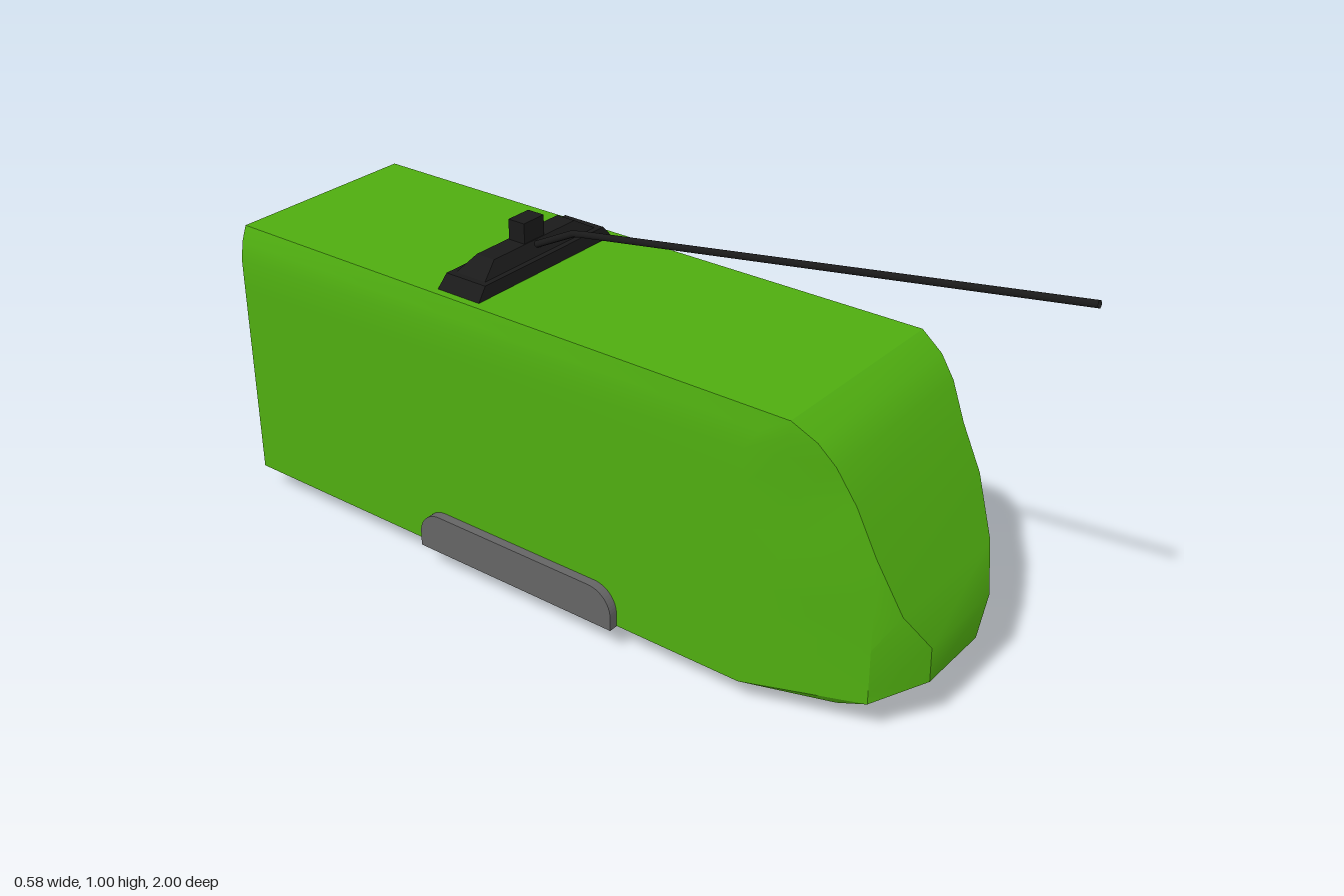
import * as THREE from 'three';
import { toCreasedNormals } from 'three/addons/utils/BufferGeometryUtils.js';

const mat = (color, extra = {}) => new THREE.MeshStandardMaterial({ color, ...extra });
const GREEN = mat(0x4fad10), ORANGE = mat(0xcc9412), GLASS = mat(0x459494), RED = mat(0x9c2428);
const GREY = mat(0x646464), BLACK = mat(0x1a1a1a);

export function createModel() {
  const model = new THREE.Group();
  const add = (name, geometry, material, parent = model) => {
    const mesh = new THREE.Mesh(geometry, material);
    mesh.name = name;
    parent.add(mesh);
    return mesh;
  };
  // Box given by its limits on each axis
  const box = (name, [x0, x1], [y0, y1], [z0, z1], material, parent) => {
    const mesh = add(name, new THREE.BoxGeometry(x1 - x0, y1 - y0, z1 - z0), material, parent);
    mesh.position.set((x0 + x1) / 2, (y0 + y1) / 2, (z0 + z1) / 2);
    return mesh;
  };

  add('body', bodyGeometry(), GREEN);

  // Doors with their panes, on the left side
  [[0.22, 0.42, 0.26, 0.365], [-0.73, -0.55, -0.7, -0.6], [-0.91, -0.735, -0.86, -0.765]].forEach(([z0, z1, g0, g1]) => {
    const door = new THREE.Group();
    door.name = 'door';
    model.add(door);
    box('doorPanel', [0.25, 0.283], [0.08, 0.56], [z0, z1], ORANGE, door);
    box('doorGlass', [0.26, 0.287], [0.155, 0.532], [g0, g1], GLASS, door);
  });

  // Window band between the doors
  [[-0.5, -0.19], [-0.135, 0.165]].forEach(z => box('sideWindow', [0.25, 0.286], [0.265, 0.53], z, GLASS));
  [[-0.55, -0.5], [-0.19, -0.135], [0.165, 0.22]].forEach(z => box('windowPillar', [0.25, 0.284], [0.265, 0.53], z, RED));

  // Wheel skirts with rounded upper corners
  const r = 0.06, half = 0.278, y0 = 0.062, y1 = 0.157;
  const skirt = new THREE.Shape();
  skirt.moveTo(-half, y0);
  skirt.lineTo(half, y0);
  skirt.lineTo(half, y1 - r);
  skirt.absarc(half - r, y1 - r, r, 0, Math.PI / 2);
  skirt.absarc(r - half, y1 - r, r, Math.PI / 2, Math.PI);
  const skirtGeometry = new THREE.ExtrudeGeometry(skirt, { depth: 0.03, bevelEnabled: false, curveSegments: 6 });
  skirtGeometry.translate(0, 0, -0.015).rotateY(Math.PI / 2);
  for (const side of [-1, 1]) {
    add('wheelSkirt', skirtGeometry, GREY).position.set(side * 0.274, 0, -0.167);
    for (const z of [0.035, -0.355]) {
      const wheel = add('wheel', new THREE.CylinderGeometry(0.068, 0.068, 0.026, 24), BLACK);
      wheel.rotation.z = Math.PI / 2;
      wheel.position.set(side * 0.155, 0.068, z);
    }
  }
  box('underPlate', [-0.19, 0.19], [0.04, 0.075], [-0.22, -0.105], GREY);

  // Current collector: stepped base, block and bent pole
  const frustum = (name, ya, yb, bottom, top) => {
    const g = new THREE.BoxGeometry(2, yb - ya, 2);
    const p = g.attributes.position;
    for (let i = 0; i < p.count; i++) {
      const [hx, hz] = p.getY(i) > 0 ? top : bottom;
      p.setXYZ(i, p.getX(i) * hx, p.getY(i), p.getZ(i) * hz);
    }
    const flat = g.toNonIndexed();
    flat.computeVertexNormals();
    add(name, flat, BLACK).position.set(0, (ya + yb) / 2, -0.348);
  };
  frustum('collectorBase', 0.695, 0.73, [0.23, 0.06], [0.2, 0.056]);
  frustum('collectorStep', 0.73, 0.76, [0.185, 0.042], [0.135, 0.025]);
  box('collectorBlock', [-0.033, 0.033], [0.755, 0.808], [-0.37, -0.325], BLACK);
  const points = [[0.742, -0.335], [0.805, -0.21], [0.991, 0.999]].map(([y, z]) => new THREE.Vector3(0, y, z));
  const path = new THREE.CurvePath();
  path.add(new THREE.LineCurve3(points[0], points[1]));
  path.add(new THREE.LineCurve3(points[1], points[2]));
  add('collectorPole', new THREE.TubeGeometry(path, 40, 0.008, 8), mat(0x1a1a1a, { side: THREE.DoubleSide }));
  return model;
}

// Horizontal outlines stacked from floor to roof, narrowing towards the nose
function bodyGeometry() {
  // height, side half width, nose z, nose half width
  const rows = [
    [0.063, 0.267, 0.68, 0.11], [0.09, 0.267, 0.74, 0.1], [0.12, 0.267, 0.78, 0.095],
    [0.22, 0.267, 0.79, 0.117], [0.31, 0.267, 0.752, 0.175], [0.44, 0.267, 0.7, 0.203],
    [0.54, 0.267, 0.652, 0.206], [0.62, 0.267, 0.612, 0.222], [0.665, 0.259, 0.575, 0.233], [0.7, 0.245, 0.52, 0.2445],
  ];
  const position = [], index = [], n = 8;
  rows.forEach(([y, w, nz, nw]) => {
    const shoulder = 0.43 + (0.267 - w) * 4;
    const mid = nz > 0.7 ? [0.2, 0.7] : y < 0.1 ? [0.203, 0.63] : [(w + nw) / 2, (shoulder + nz) / 2];
    const right = [[w, -1], [w, shoulder], mid, [nw, nz]];
    const left = right.map(([x, z]) => [-x, z]).reverse();
    [...right, ...left].forEach(([x, z]) => position.push(x, y, z));
  });
  for (let i = 0; i < rows.length - 1; i++) {
    for (let j = 0; j < n; j++) {
      const a = i * n + j, b = i * n + (j + 1) % n;
      index.push(a, a + n, b, b, a + n, b + n);
    }
  }
  const top = (rows.length - 1) * n;
  for (let j = 1; j < n - 1; j++) index.push(0, j, j + 1, top, top + j + 1, top + j);
  const g = new THREE.BufferGeometry();
  g.setAttribute('position', new THREE.Float32BufferAttribute(position, 3));
  g.setIndex(index);
  return toCreasedNormals(g, 0.5);
}
